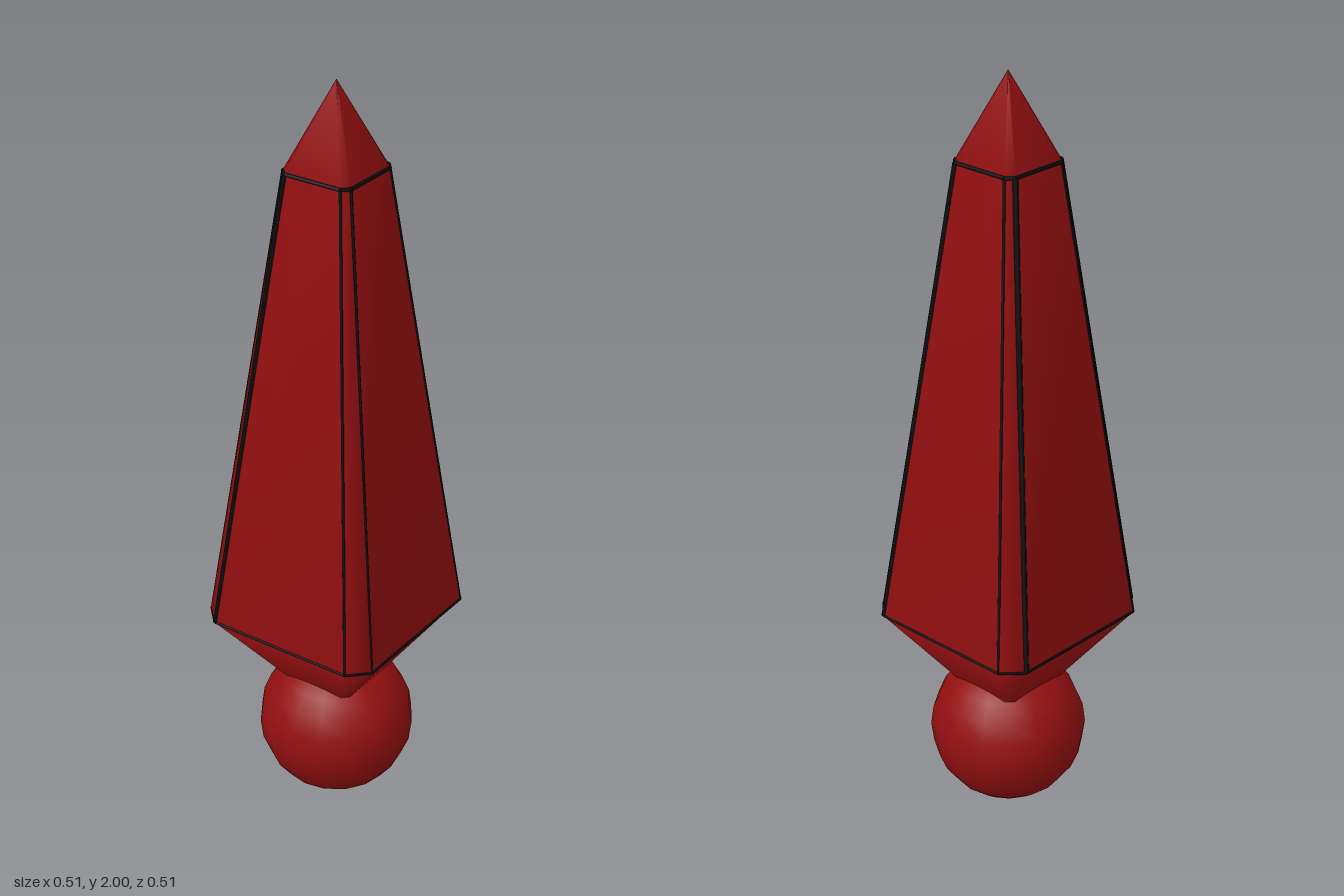
import * as THREE from 'three';

const red = new THREE.MeshStandardMaterial({ color: 0x930f10 });
red.name = 'deep red';
const black = new THREE.MeshStandardMaterial({ color: 0x0a0a0a });
black.name = 'black';

// Square ring with cut corners, counter-clockwise from above
function ring(y, half, cut) {
  const c = half - cut;
  return [[c, half], [half, c], [half, -c], [c, -half], [-c, -half], [-half, -c], [-half, c], [-c, half]]
    .map(([x, z]) => new THREE.Vector3(x, y, z));
}

// Closed skin through a stack of rings
function loft(rings) {
  const points = rings.flat();
  const index = [];
  for (let r = 0; r < rings.length - 1; r++) {
    for (let i = 0; i < 8; i++) {
      const a = r * 8 + i, b = r * 8 + (i + 1) % 8;
      index.push(a, b, b + 8, a, b + 8, a + 8);
    }
  }
  const geometry = new THREE.BufferGeometry().setFromPoints(points);
  geometry.setIndex(index);
  geometry.computeVertexNormals();
  return geometry;
}

// Slim rod along an edge
function rod(a, b, radius) {
  const direction = b.clone().sub(a);
  const mesh = new THREE.Mesh(new THREE.CylinderGeometry(radius, radius, direction.length(), 6), black);
  mesh.position.copy(a).add(b).multiplyScalar(0.5);
  mesh.quaternion.setFromUnitVectors(new THREE.Vector3(0, 1, 0), direction.normalize());
  mesh.name = 'edgeLine';
  return mesh;
}

export function createModel() {
  const model = new THREE.Group();
  model.name = 'spike';

  // Faceted spike: lower taper, long shaft and pointed tip
  const base = ring(0.565, 0.254, 0.049);
  const shoulder = ring(1.78, 0.098, 0.018);
  const spike = new THREE.Mesh(
    loft([ring(0.3, 0.062, 0.008), base, shoulder, ring(2, 0.0005, 0.0001)]), red);
  spike.name = 'spikeBody';
  model.add(spike);

  // Ball at the foot
  const ball = new THREE.Mesh(new THREE.SphereGeometry(0.205, 16, 12), red);
  ball.position.y = 0.21;
  ball.name = 'ball';
  model.add(ball);

  // Dark lines along the shaft edges and around both ends
  const lines = new THREE.Group();
  lines.name = 'edgeLines';
  const inset = (p) => new THREE.Vector3(p.x * 0.99, p.y, p.z * 0.99);
  for (let i = 0; i < 8; i++) {
    const j = (i + 1) % 8;
    const wide = [1, 3, 5].includes(i) ? 0.007 : 0.004;
    lines.add(rod(inset(base[i]), inset(shoulder[i]), wide));
    lines.add(rod(inset(base[i]), inset(base[j]), 0.005));
    lines.add(rod(inset(shoulder[i]), inset(shoulder[j]), 0.005));
  }
  model.add(lines);
  return model;
}
